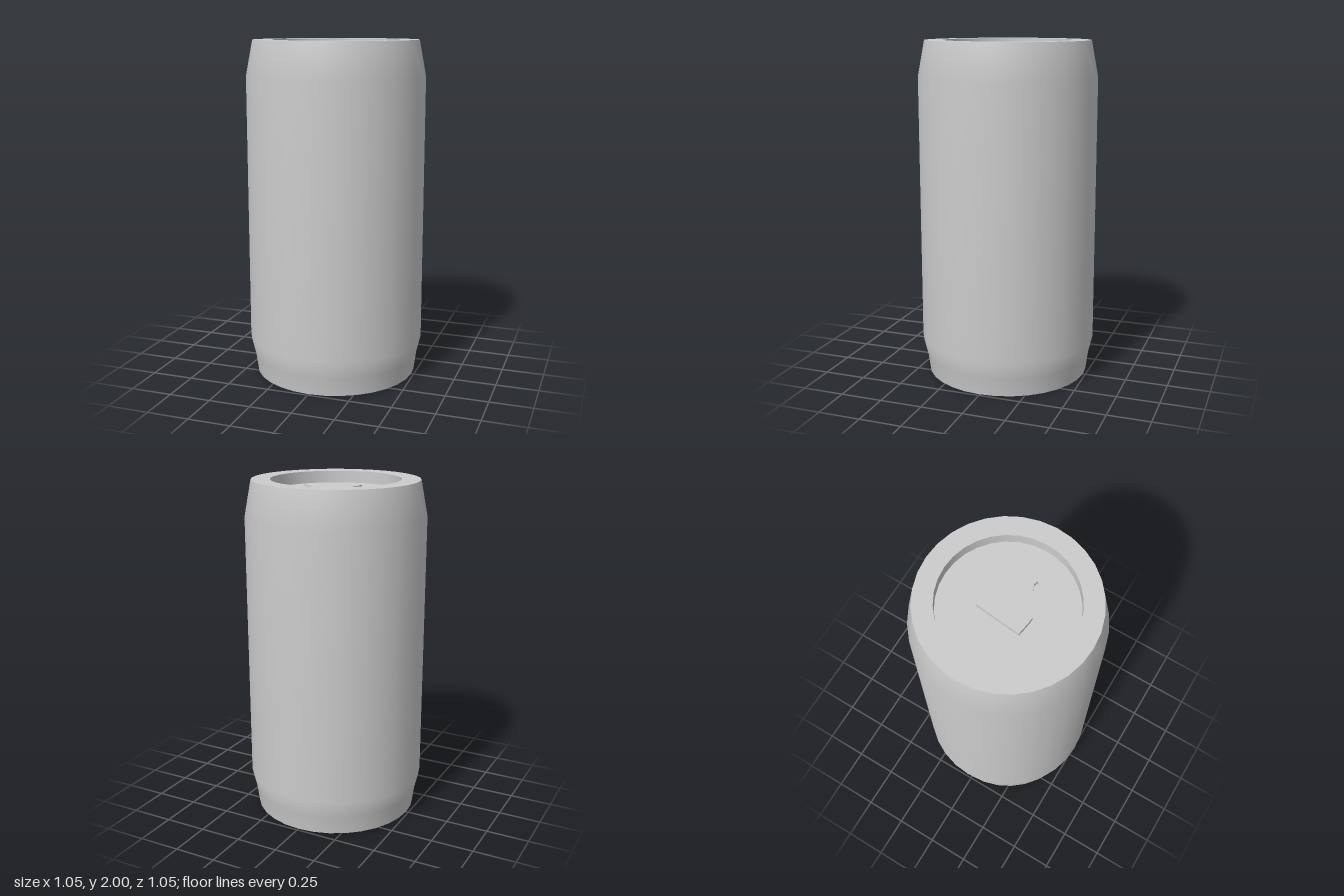
import * as THREE from 'three';

const SIDES = 32;
const material = new THREE.MeshStandardMaterial({ color: 0xcccccc });

const points = (pairs) => pairs.map(([a, b]) => new THREE.Vector2(a, b));

// Smooth turned surface from [radius, height] pairs; separate calls keep hard edges between parts
function turned(name, profile) {
  const mesh = new THREE.Mesh(new THREE.LatheGeometry(points(profile), SIDES), material);
  mesh.name = name;
  return mesh;
}

// Flat ring tab, outlined in plan as [x, z]
function pullTab(floorY) {
  const plan = (pairs) => points(pairs.map(([x, z]) => [x, -z]));
  const shape = new THREE.Shape(plan([
    [-0.076, -0.144], [0.02, -0.14], [0.035, -0.135], [0.135, -0.045], [0.175, -0.023], [0.203, -0.017],
    [0.194, 0.059], [0.169, 0.051], [0.124, 0.07], [0.085, 0.095], [0.005, 0.138], [-0.025, 0.136], [-0.104, 0.124],
  ]));
  shape.holes.push(new THREE.Path(plan([
    [-0.062, -0.101], [0.028, -0.093], [0.13, -0.031], [0.18, -0.008],
    [0.175, 0.042], [0.121, 0.053], [0.06, 0.082], [-0.003, 0.093], [-0.082, 0.085],
  ])));
  const geometry = new THREE.ExtrudeGeometry(shape, { depth: 0.025, bevelEnabled: false });
  geometry.rotateX(-Math.PI / 2);
  const mesh = new THREE.Mesh(geometry, material);
  mesh.name = 'pullTab';
  mesh.position.y = floorY;
  return mesh;
}

export function createModel() {
  const can = new THREE.Group();
  can.name = 'can';
  const floorY = 1.93;

  can.add(
    // Concave underside with a narrow standing rim
    turned('base', [[0, 0.13], [0.12, 0.122], [0.24, 0.095], [0.34, 0.057], [0.44, 0.004], [0.485, 0]]),
    // Side wall with tapered foot and shoulder
    turned('body', [[0.485, 0], [0.5, 0.11], [0.525, 0.215], [0.525, 1.79], [0.485, 2]]),
    // Top rim, recess wall and lid
    turned('topRim', [[0.485, 2], [0.375, 2]]),
    turned('recessWall', [[0.375, 2], [0.375, floorY]]),
    turned('lid', [[0.375, floorY], [0, floorY]]),
    pullTab(floorY),
  );
  return can;
}
